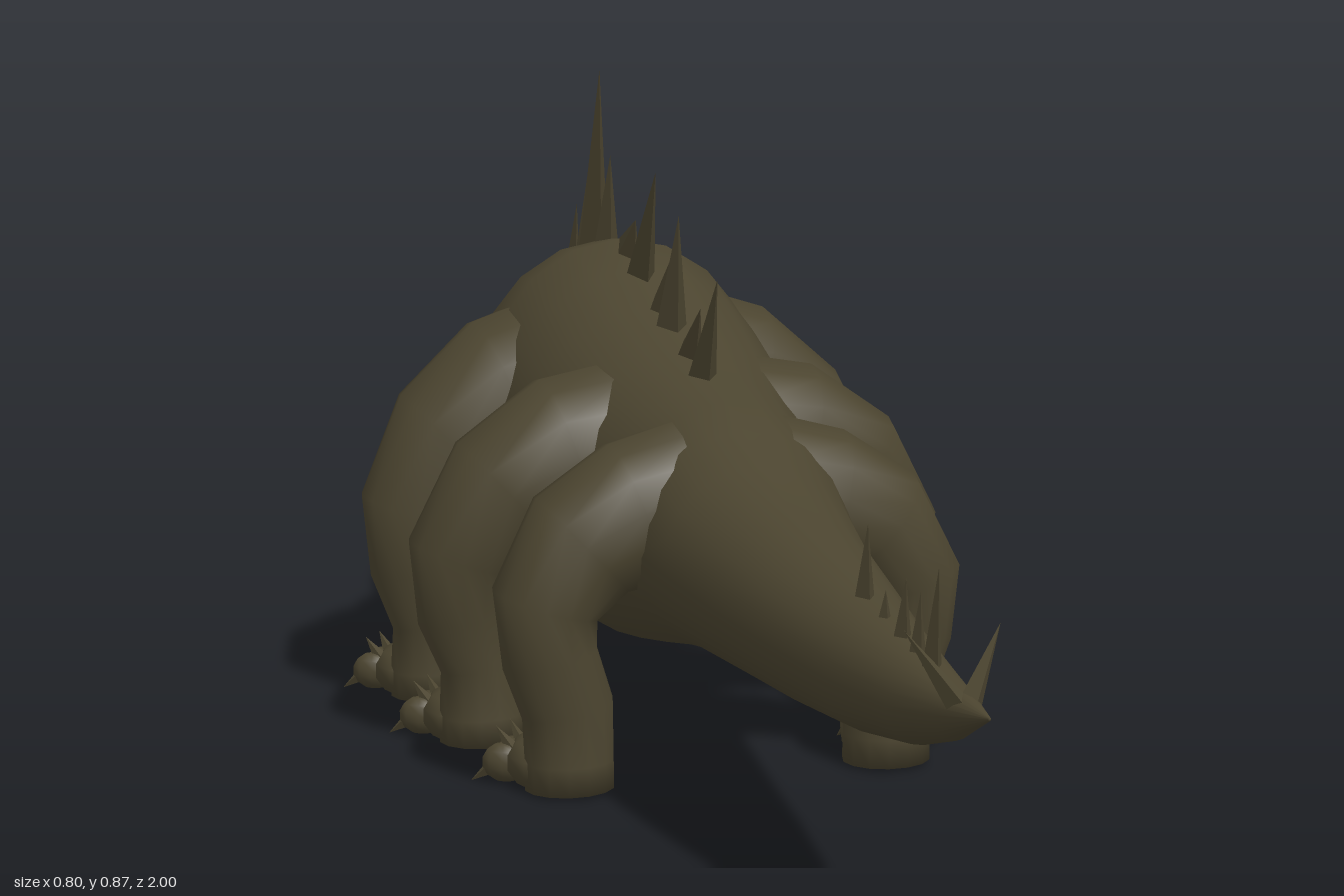
import * as THREE from 'three';

const hide = new THREE.MeshStandardMaterial({ color: 0x4c4530 });
hide.name = 'olive hide';

const V = (x, y, z) => new THREE.Vector3(x, y, z);

function add(parent, name, geometry) {
  const mesh = new THREE.Mesh(geometry, hide);
  mesh.name = name;
  parent.add(mesh);
  return mesh;
}

// Skin joining closed rings of equal point count
function skin(rings) {
  const n = rings[0].length, pos = [], index = [];
  rings.forEach(r => r.forEach(p => pos.push(p.x, p.y, p.z)));
  for (let i = 0; i < rings.length - 1; i++) {
    for (let j = 0; j < n; j++) {
      const a = i * n + j, b = i * n + (j + 1) % n;
      index.push(a, b, a + n, b, b + n, a + n);
    }
  }
  const g = new THREE.BufferGeometry();
  g.setAttribute('position', new THREE.Float32BufferAttribute(pos, 3));
  g.setIndex(index);
  g.computeVertexNormals();
  return g;
}

// Trunk-like form: rows of [z, top, bottom, widest height, half width], growing z
function trunk(rows, n = 20) {
  const ring = ([z, top, bottom, mid, hw], k) => Array.from({ length: n }, (_, j) => {
    const a = j / n * Math.PI * 2, s = Math.sin(a);
    return V(Math.cos(a) * hw * k, mid + s * k * (s > 0 ? top - mid : mid - bottom), z);
  });
  const last = rows[rows.length - 1];
  return skin([ring(rows[0], 0), ...rows.map(r => ring(r, 1)), ring(last, 0)]);
}

// Limb: rows of [x, y, z, radius across, radius along z], bent in the xy plane
function limb(rows, side, n = 14) {
  const c = rows.map(r => V(r[0] * side, r[1], r[2]));
  const rings = rows.map((r, i) => {
    const t = c[Math.min(i + 1, c.length - 1)].clone().sub(c[Math.max(i - 1, 0)]).setZ(0).normalize();
    return Array.from({ length: n }, (_, j) => {
      const a = j / n * Math.PI * 2;
      const u = Math.cos(a) * r[3];
      return V(c[i].x - t.y * u, Math.max(0.012, c[i].y + t.x * u), c[i].z + Math.sin(a) * r[4]);
    });
  });
  rings.push(rings[rings.length - 1].map(() => c[c.length - 1].clone()));
  return skin(rings);
}

// Four-sided spike from base to tip
function spike(parent, name, base, tip, w, l = w) {
  const d = tip.clone().sub(base);
  const len = d.length();
  const cone = new THREE.ConeGeometry(1, 1, 4, 1).translate(0, 0.5, 0).scale(w, len, l);
  cone.applyQuaternion(new THREE.Quaternion().setFromUnitVectors(V(0, 1, 0), d.normalize()));
  cone.translate(base.x, base.y, base.z);
  const g = cone.toNonIndexed();
  g.computeVertexNormals();
  return add(parent, name, g);
}

function blob(parent, name, p, rx, ry, rz, turn = 0) {
  const g = new THREE.SphereGeometry(1, 10, 7).scale(rx, ry, rz).rotateY(turn).translate(p.x, p.y, p.z);
  const a = g.attributes.position;
  for (let i = 0; i < a.count; i++) a.setY(i, Math.max(0.01, a.getY(i)));
  return add(parent, name, g);
}

function buildLeg(parent, name, rows, side) {
  const leg = new THREE.Group();
  leg.name = name;
  add(leg, 'limb', limb(rows, side));
  const [ax, , az] = rows[rows.length - 1];
  blob(leg, 'foot', V(side * (ax + 0.012), 0.04, az - 0.035), 0.064, 0.045, 0.068);
  // Toes fan forwards and outwards
  for (const deg of [-18, 8, 34, 62]) {
    const a = deg * Math.PI / 180, dx = Math.sin(a) * side, dz = -Math.cos(a);
    const at = (r, y) => V(side * (ax + 0.012) + dx * r, y, az - 0.025 + dz * r);
    blob(leg, 'toe', at(0.068, 0.036), 0.02, 0.027, 0.032, -a * side);
    spike(leg, 'claw', at(0.08, 0.034), at(0.115, 0.008), 0.013);
    spike(leg, 'toeSpur', at(0.055, 0.05), at(0.08, 0.085), 0.012);
  }
  parent.add(leg);
}

export function createModel() {
  const model = new THREE.Group();
  model.name = 'sixLeggedReptile';

  add(model, 'body', trunk([
    [-0.75, 0.495, 0.19, 0.34, 0.135], [-0.7, 0.53, 0.175, 0.35, 0.15], [-0.65, 0.57, 0.16, 0.36, 0.167],
    [-0.6, 0.605, 0.145, 0.37, 0.19], [-0.53, 0.64, 0.125, 0.38, 0.215], [-0.45, 0.652, 0.112, 0.38, 0.22],
    [-0.35, 0.625, 0.11, 0.37, 0.212], [-0.25, 0.59, 0.118, 0.36, 0.205], [-0.15, 0.56, 0.135, 0.35, 0.19],
    [-0.05, 0.53, 0.155, 0.345, 0.165], [0.05, 0.51, 0.178, 0.34, 0.152], [0.13, 0.485, 0.192, 0.335, 0.145],
    [0.2, 0.455, 0.198, 0.325, 0.133], [0.35, 0.42, 0.207, 0.31, 0.11], [0.5, 0.395, 0.215, 0.305, 0.092],
    [0.65, 0.375, 0.228, 0.3, 0.07], [0.8, 0.358, 0.255, 0.305, 0.048], [0.9, 0.35, 0.288, 0.32, 0.028],
    [1.0, 0.342, 0.338, 0.34, 0.002],
  ]));

  // Head
  const head = new THREE.Group();
  head.name = 'head';
  model.add(head);
  add(head, 'upperJaw', trunk([
    [-0.998, 0.395, 0.372, 0.38, 0.025], [-0.965, 0.413, 0.365, 0.38, 0.066], [-0.92, 0.432, 0.36, 0.378, 0.1],
    [-0.85, 0.455, 0.352, 0.375, 0.13], [-0.78, 0.482, 0.335, 0.37, 0.148], [-0.7, 0.527, 0.31, 0.36, 0.149],
  ]));
  add(head, 'lowerJaw', trunk([
    [-0.985, 0.312, 0.285, 0.3, 0.03], [-0.95, 0.32, 0.245, 0.3, 0.072], [-0.9, 0.32, 0.213, 0.298, 0.104],
    [-0.84, 0.32, 0.195, 0.3, 0.124], [-0.78, 0.33, 0.186, 0.305, 0.136], [-0.7, 0.34, 0.178, 0.31, 0.146],
  ]));

  for (const s of [1, -1]) {
    blob(head, 'eye', V(s * 0.095, 0.42, -0.85), 0.016, 0.014, 0.022, s * 0.5);
    spike(head, 'browSpike', V(s * 0.09, 0.428, -0.845), V(s * 0.1, 0.452, -0.815), 0.012, 0.02);
    blob(head, 'nostril', V(s * 0.035, 0.405, -0.965), 0.012, 0.01, 0.016);
    // Teeth along both jaws
    [[0.03, -0.985], [0.062, -0.962], [0.088, -0.93], [0.105, -0.895], [0.12, -0.855]].forEach(([x, z], i) => {
      spike(head, 'upperTooth', V(s * x, 0.374, z), V(s * x, i % 2 ? 0.325 : 0.345, z + 0.005), 0.008);
      spike(head, 'lowerTooth', V(s * x * 0.93, 0.3, z + 0.012), V(s * x * 0.95, i % 2 ? 0.338 : 0.355, z), 0.009);
    });
    // Chin and cheek spikes
    spike(head, 'cheekSpike', V(s * 0.12, 0.27, -0.84), V(s * 0.17, 0.255, -0.825), 0.015);
    spike(head, 'chinSpike', V(s * 0.075, 0.22, -0.79), V(s * 0.085, 0.155, -0.785), 0.017);
    spike(head, 'chinSpike', V(s * 0.06, 0.225, -0.87), V(s * 0.07, 0.165, -0.87), 0.016);
  }
  spike(head, 'chinSpike', V(0, 0.21, -0.84), V(0, 0.13, -0.825), 0.02);

  // Back spikes: [base z, base y, tip z, tip y, half width, half length]
  const spines = new THREE.Group();
  spines.name = 'spines';
  model.add(spines);
  [
    [-0.06, 0.51, 0.015, 0.665, 0.022, 0.035], [-0.12, 0.53, -0.06, 0.615, 0.02, 0.035],
    [-0.2, 0.55, -0.16, 0.725, 0.024, 0.036], [-0.25, 0.57, -0.205, 0.655, 0.02, 0.04],
    [-0.36, 0.59, -0.27, 0.77, 0.024, 0.045], [-0.42, 0.62, -0.37, 0.69, 0.02, 0.05],
    [-0.53, 0.6, -0.5, 0.765, 0.022, 0.034], [-0.6, 0.57, -0.555, 0.882, 0.026, 0.05],
    [-0.645, 0.55, -0.605, 0.755, 0.022, 0.03], [-0.735, 0.49, -0.685, 0.67, 0.02, 0.032],
    [-0.81, 0.45, -0.775, 0.575, 0.017, 0.026], [-0.9, 0.42, -0.87, 0.51, 0.016, 0.026],
    [0.595, 0.365, 0.607, 0.47, 0.014, 0.022], [0.665, 0.36, 0.67, 0.405, 0.01, 0.014],
    [0.725, 0.355, 0.737, 0.435, 0.012, 0.018], [0.775, 0.35, 0.785, 0.43, 0.011, 0.016],
    [0.82, 0.34, 0.842, 0.472, 0.013, 0.022],
  ].forEach(([bz, by, tz, ty, w, l]) => spike(spines, 'spine', V(0, by, bz), V(0, ty, tz), w, l));
  for (const s of [1, -1]) spike(spines, 'tailFork', V(0, 0.325, 0.93), V(s * 0.057, 0.415, 0.885), 0.016, 0.022);

  // Legs, from shoulder to sole
  const legs = {
    front: [[0.08, 0.43, -0.46, 0.15, 0.15], [0.17, 0.415, -0.455, 0.135, 0.135], [0.25, 0.37, -0.445, 0.105, 0.105],
      [0.308, 0.28, -0.43, 0.082, 0.078], [0.31, 0.2, -0.425, 0.066, 0.062], [0.29, 0.12, -0.428, 0.055, 0.05],
      [0.288, 0.05, -0.43, 0.06, 0.052], [0.288, 0.012, -0.43, 0.06, 0.052]],
    middle: [[0.08, 0.4, -0.17, 0.13, 0.12], [0.16, 0.395, -0.17, 0.12, 0.115], [0.24, 0.355, -0.17, 0.1, 0.098],
      [0.3, 0.27, -0.175, 0.08, 0.073], [0.3, 0.19, -0.18, 0.064, 0.06], [0.278, 0.12, -0.183, 0.055, 0.05],
      [0.275, 0.05, -0.182, 0.06, 0.052], [0.275, 0.012, -0.182, 0.06, 0.052]],
    hind: [[0.06, 0.38, 0.06, 0.11, 0.1], [0.13, 0.37, 0.06, 0.1, 0.095], [0.2, 0.335, 0.062, 0.088, 0.085],
      [0.25, 0.26, 0.065, 0.072, 0.073], [0.245, 0.19, 0.068, 0.064, 0.064], [0.222, 0.12, 0.07, 0.062, 0.054],
      [0.22, 0.05, 0.07, 0.06, 0.052], [0.22, 0.012, 0.07, 0.06, 0.052]],
  };
  for (const [name, rows] of Object.entries(legs)) {
    buildLeg(model, name + 'LegLeft', rows, 1);
    buildLeg(model, name + 'LegRight', rows, -1);
  }
  return model;
}
